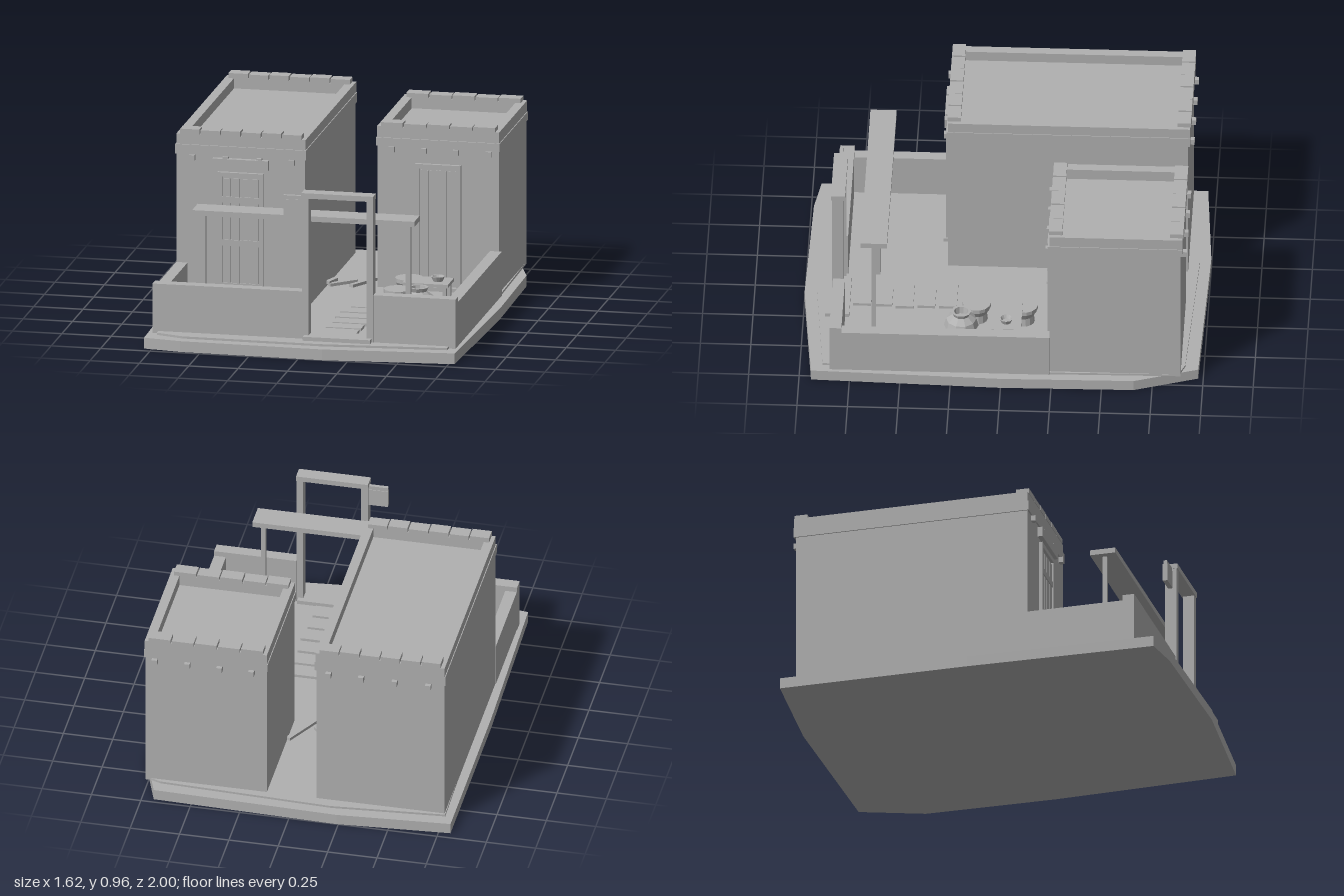
import * as THREE from 'three';

const clay = new THREE.MeshStandardMaterial({ color: 0xb0b0b0, flatShading: true });
clay.name = 'grey clay';

function add(parent, name, geometry) {
  const mesh = new THREE.Mesh(geometry, clay);
  mesh.name = name;
  parent.add(mesh);
  return mesh;
}

// Box given by its limits on each axis
function box(parent, name, x0, x1, y0, y1, z0, z1) {
  const mesh = add(parent, name, new THREE.BoxGeometry(x1 - x0, y1 - y0, z1 - z0));
  mesh.position.set((x0 + x1) / 2, (y0 + y1) / 2, (z0 + z1) / 2);
  return mesh;
}

// Flat slab from an [x, z] outline
function slab(parent, name, outline, y0, y1) {
  const shape = new THREE.Shape(outline.map(([x, z]) => new THREE.Vector2(x, -z)));
  const geometry = new THREE.ExtrudeGeometry(shape, { depth: y1 - y0, bevelEnabled: false });
  geometry.rotateX(-Math.PI / 2);
  add(parent, name, geometry).position.y = y0;
}

function group(parent, name) {
  const g = new THREE.Group();
  g.name = name;
  parent.add(g);
  return g;
}

// Flat-roofed house with cornice, parapet, cap blocks and beam ends
function house(parent, name, o) {
  const g = group(parent, name);
  const { x0, x1, z0, z1, wall, band, top, cap } = o;
  box(g, 'walls', x0, x1, 0.055, wall, z0 + 0.01, z1);
  box(g, 'cornice', x0 - 0.006, x1 + 0.006, wall, band, z0, z1 + 0.008);
  box(g, 'parapetLeft', x1 - 0.045, x1 + 0.002, band, top, z0, z1);
  box(g, 'parapetRight', x0 - 0.002, x0 + 0.045, band, top, z0, z1);
  for (const [a, b] of [[z0, z0 + 0.06], [z1 - 0.06, z1]]) {
    box(g, 'parapetEnd', x0 + 0.045, x1 - 0.045, band, top, a, b);
    const step = (x1 - x0 - 0.03) / o.caps;
    for (let i = 0; i < o.caps; i++) {
      const x = x0 + 0.015 + i * step;
      box(g, 'capBlock', x + 0.003, x + step - 0.003, top, cap - (i % 2) * 0.003, a - 0.003, b + 0.003);
    }
  }
  for (const x of o.beams) {
    box(g, 'beamEndFront', x - 0.014, x + 0.014, wall - 0.028, wall, z1 - 0.01, z1 + 0.022);
    box(g, 'beamEndBack', x - 0.014, x + 0.014, wall - 0.028, wall, z0, z0 - 0.018 + 0.03);
    box(g, 'beamTipBack', x - 0.014, x + 0.014, wall - 0.028, wall, z0 - 0.02, z0);
  }
  return g;
}

// Door frame, leaf and planks standing proud of a front wall
function door(parent, x0, x1, top, z, upright) {
  const g = group(parent, 'door');
  const t = 0.022;
  box(g, 'jambRight', x0, x0 + t, 0.07, top, z, z + 0.018);
  box(g, 'jambLeft', x1 - t, x1, 0.07, top, z, z + 0.018);
  box(g, 'doorHead', x0 + t, x1 - t, top - t, top, z, z + 0.018);
  box(g, 'doorSill', x0 - 0.01, x1 + 0.01, 0.065, 0.085, z, z + 0.03);
  box(g, 'leaf', x0 + t, x1 - t, 0.085, top - t, z, z + 0.004);
  const w = (x1 - x0 - 2 * t) / 4;
  for (let i = 0; i < 4; i++) {
    const x = x0 + t + i * w;
    box(g, 'doorPlank', x + 0.004, x + w - 0.004, 0.09, top - t - 0.01, z, z + 0.009);
  }
  if (!upright) {
    for (const y of [0.16, 0.38, 0.6]) {
      box(g, 'doorRail', x0 + t, x1 - t, y, y + 0.03, z, z + 0.013);
    }
  }
}

function lathe(parent, name, points, sides, x, y, z) {
  const profile = points.map(([r, h]) => new THREE.Vector2(r, h));
  const mesh = add(parent, name, new THREE.LatheGeometry(profile, sides));
  mesh.position.set(x, y, z);
}

// Thin plank lying on the ground between two [x, z] points
function plank(parent, a, b, y) {
  const dx = b[0] - a[0], dz = b[1] - a[1];
  const mesh = add(parent, 'loosePlank', new THREE.BoxGeometry(Math.hypot(dx, dz), 0.015, 0.025));
  mesh.position.set((a[0] + b[0]) / 2, y, (a[1] + b[1]) / 2);
  mesh.rotation.y = -Math.atan2(dz, dx);
}

export function createModel() {
  const model = new THREE.Group();
  model.name = 'courtyardHouses';

  // Ground
  slab(model, 'groundSlab', [[-0.81, -0.96], [-0.24, -1], [0.69, -0.975], [0.8, -0.66], [0.81, 0],
    [0.78, 0.94], [0.12, 1], [-0.6, 0.985], [-0.79, 0.955], [-0.81, 0]].reverse(), 0, 0.055);
  slab(model, 'yardFloor', [[-0.77, -0.9], [-0.2, -0.945], [0.67, -0.91], [0.75, -0.88], [0.765, 0],
    [0.73, 0.885], [0.1, 0.94], [-0.6, 0.93], [-0.74, 0.885]].reverse(), 0.055, 0.066);

  // Houses
  const large = house(model, 'largeHouse', { x0: -0.765, x1: -0.115, z0: -0.9, z1: 0.3,
    wall: 0.835, band: 0.885, top: 0.937, cap: 0.963, caps: 6, beams: [-0.685, -0.515, -0.345, -0.18] });
  door(large, -0.555, -0.325, 0.755, 0.3, false);
  box(large, 'doorLintel', -0.58, -0.297, 0.775, 0.825, 0.3, 0.325);
  const small = house(model, 'smallHouse', { x0: 0.135, x1: 0.75, z0: -0.9, z1: -0.24,
    wall: 0.79, band: 0.832, top: 0.888, cap: 0.91, caps: 5, beams: [0.21, 0.372, 0.535, 0.7] });
  door(small, 0.33, 0.56, 0.71, -0.24, true);

  // Yard walls
  const walls = group(model, 'yardWalls');
  box(walls, 'frontWallRight', -0.77, -0.01, 0.055, 0.307, 0.79, 0.85);
  box(walls, 'frontWallLeft', 0.347, 0.765, 0.055, 0.307, 0.79, 0.85);
  box(walls, 'sideWallRight', -0.768, -0.71, 0.055, 0.28, 0.3, 0.79);
  box(walls, 'sideWallLeft', 0.705, 0.765, 0.055, 0.28, -0.24, 0.79);

  // Gate with hanging board and threshold
  const gate = group(model, 'gate');
  box(gate, 'postRight', -0.012, 0.022, 0.06, 0.785, 0.797, 0.855);
  box(gate, 'postLeft', 0.315, 0.349, 0.06, 0.785, 0.797, 0.855);
  box(gate, 'gateBeam', -0.014, 0.35, 0.785, 0.812, 0.79, 0.86);
  box(gate, 'hangingBoard', -0.11, -0.012, 0.68, 0.77, 0.812, 0.836);
  box(gate, 'boardArm', -0.11, -0.012, 0.77, 0.79, 0.815, 0.833);
  box(gate, 'threshold', 0, 0.34, 0.06, 0.086, 0.77, 0.89);

  // Pergola
  const pergola = group(model, 'pergola');
  box(pergola, 'pergolaBeam', -0.6, 0.525, 0.628, 0.655, 0.575, 0.705);
  for (const x of [-0.555, -0.038, 0.482]) {
    box(pergola, 'pergolaPost', x - 0.012, x + 0.012, 0.06, 0.628, 0.63, 0.653);
  }

  // Stepping stones
  const path = group(model, 'path');
  for (const [x, z] of [[0.19, 0.18], [0.157, 0.285], [0.157, 0.392], [0.165, 0.5], [0.153, 0.605], [0.15, 0.71]]) {
    box(path, 'steppingStone', x - 0.09, x + 0.09, 0.06, 0.08, z - 0.044, z + 0.044);
  }

  // Table, bowl, stools and pot
  const yard = group(model, 'yardFurniture');
  box(yard, 'tableTop', 0.325, 0.555, 0.155, 0.172, -0.09, 0.055);
  for (const x of [0.345, 0.535]) {
    for (const z of [-0.07, 0.035]) box(yard, 'tableLeg', x - 0.01, x + 0.01, 0.06, 0.155, z - 0.01, z + 0.01);
  }
  lathe(yard, 'bowl', [[0, 0], [0.024, 0], [0.035, 0.025], [0.028, 0.025], [0.018, 0.008], [0, 0.008]], 12, 0.49, 0.172, -0.015);
  for (const [x, z] of [[0.328, -0.095], [0.32, 0.138]]) {
    lathe(yard, 'stool', [[0, 0], [0.055, 0], [0.05, 0.045], [0.07, 0.08], [0.07, 0.1], [0, 0.1]], 14, x, 0.062, z);
  }
  lathe(yard, 'pot', [[0, 0], [0.05, 0], [0.086, 0.05], [0.075, 0.09], [0.042, 0.115],
    [0.05, 0.135], [0.036, 0.135], [0.03, 0.1], [0, 0.1]], 10, 0.44, 0.06, 0.21);

  // Slats and loose planks
  for (const z of [0.083, 0.117, 0.151]) box(yard, 'slat', 0.51, 0.66, 0.06, 0.085, z - 0.011, z + 0.011);
  plank(yard, [0.01, -0.2], [0.13, -0.42], 0.075);
  plank(yard, [-0.1, -0.2], [0.015, -0.31], 0.075);
  plank(yard, [-0.11, -0.2], [-0.085, -0.28], 0.085);
  return model;
}
